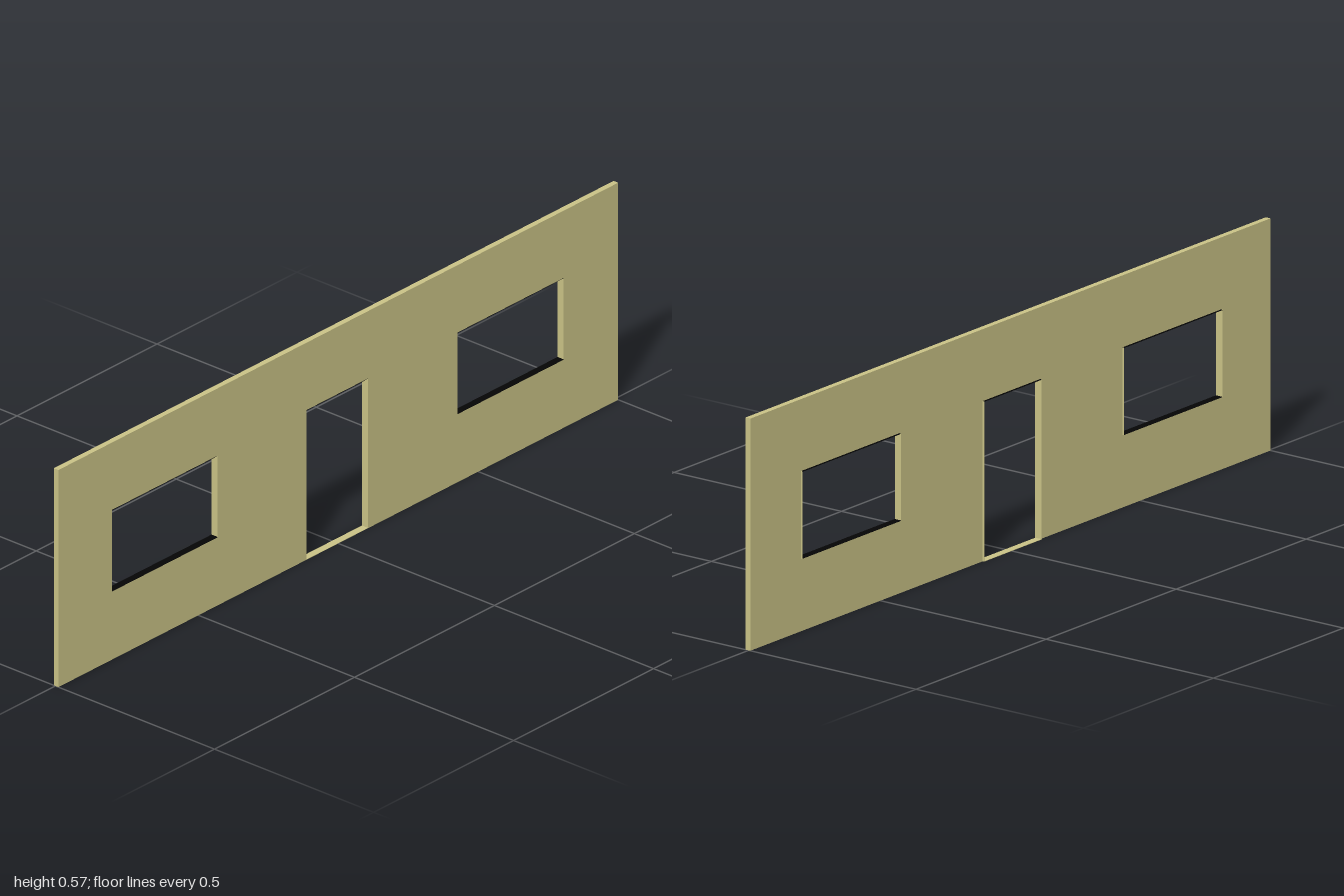
import * as THREE from 'three';

const WALL_H = 0.574, FRONT = 0.0095, WALL_BACK = -0.005, LINING_BACK = -0.0095;
const PLATE = 0.001;
const door = { name: 'door', x0: -0.115, x1: 0.107, y0: 0, y1: 0.396 };
const windows = [
  { name: 'rightWindow', x0: -0.81, x1: -0.43, y0: 0.18, y1: 0.396 },
  { name: 'leftWindow', x0: 0.425, x1: 0.806, y0: 0.18, y1: 0.396 },
];

export function createModel() {
  const group = new THREE.Group();
  group.name = 'wallPanel';
  const plaster = new THREE.MeshStandardMaterial({ color: 0xcbc487 });
  plaster.name = 'khaki plaster';
  const black = new THREE.MeshStandardMaterial({ color: 0x050505 });
  black.name = 'black reveal';

  // Box given by its limits
  const plate = (name, parent, material, x0, x1, y0, y1, z0, z1) => {
    const mesh = new THREE.Mesh(new THREE.BoxGeometry(x1 - x0, y1 - y0, z1 - z0), material);
    mesh.position.set((x0 + x1) / 2, (y0 + y1) / 2, (z0 + z1) / 2);
    mesh.name = name;
    parent.add(mesh);
  };

  // Wall slab with a door notch and two window holes
  const outline = new THREE.Shape([
    [-1, 0], [door.x0, 0], [door.x0, door.y1], [door.x1, door.y1], [door.x1, 0],
    [1, 0], [1, WALL_H], [-1, WALL_H],
  ].map(([x, y]) => new THREE.Vector2(x, y)));
  for (const w of windows) {
    outline.holes.push(new THREE.Path([
      [w.x0, w.y0], [w.x0, w.y1], [w.x1, w.y1], [w.x1, w.y0],
    ].map(([x, y]) => new THREE.Vector2(x, y))));
  }
  const slab = new THREE.ExtrudeGeometry(outline, { depth: FRONT - WALL_BACK, bevelEnabled: false });
  slab.translate(0, 0, WALL_BACK);
  const wall = new THREE.Mesh(slab, plaster);
  wall.name = 'wall';
  group.add(wall);

  // Thin linings around each opening, standing slightly proud of the back
  for (const o of [door, ...windows]) {
    const lining = new THREE.Group();
    lining.name = o.name + 'Lining';
    const z = [LINING_BACK, FRONT];
    plate('jambRight', lining, plaster, o.x0, o.x0 + PLATE, o.y0, o.y1, ...z);
    plate('jambLeft', lining, plaster, o.x1 - PLATE, o.x1, o.y0, o.y1, ...z);
    const inner = [o.x0 + PLATE, o.x1 - PLATE];
    plate('head', lining, black, ...inner, o.y1 - PLATE, o.y1, ...z);
    plate(o === door ? 'threshold' : 'sill', lining, o === door ? plaster : black,
      ...inner, o.y0, o.y0 + PLATE, ...z);
    group.add(lining);
  }
  return group;
}
